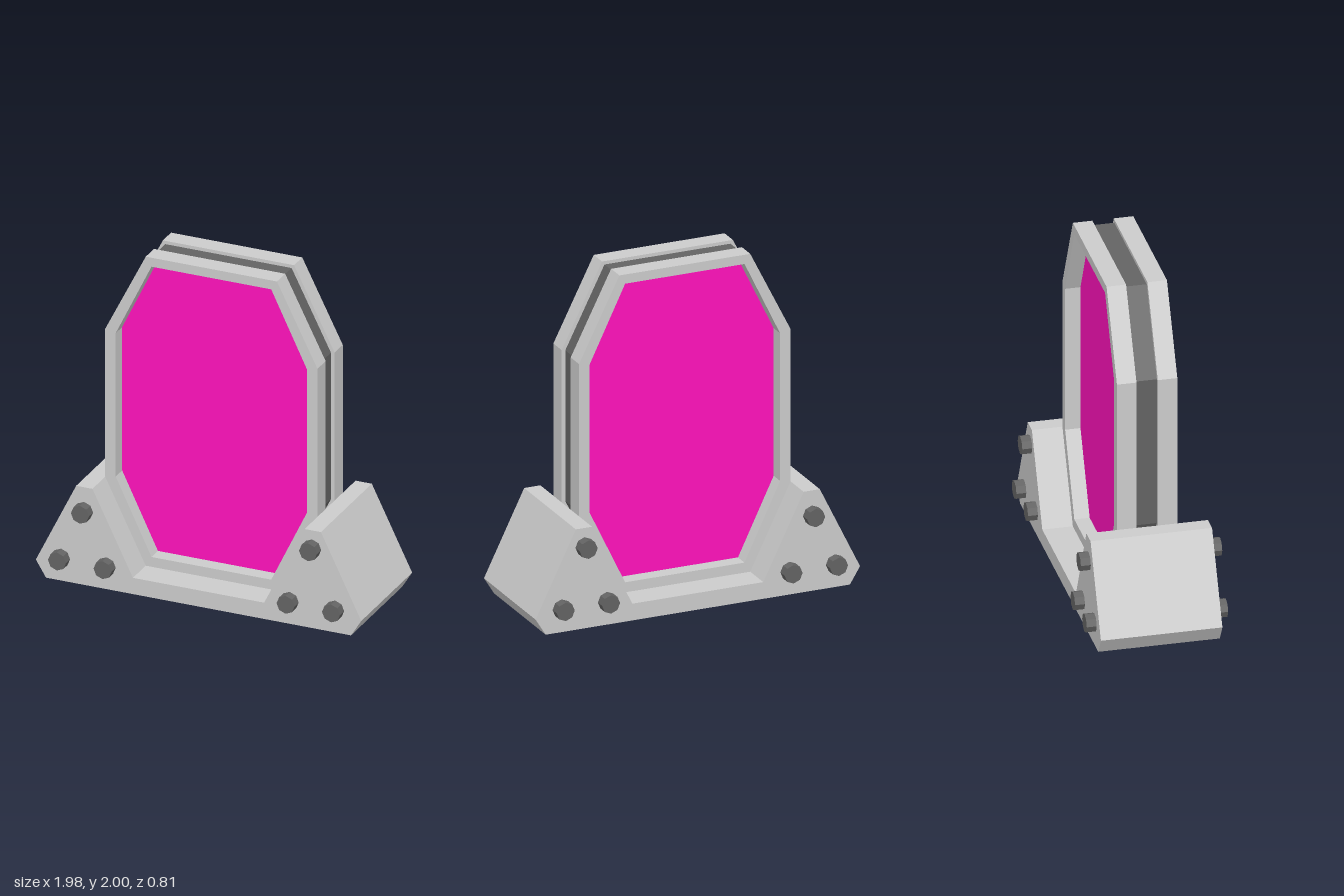
import * as THREE from 'three';

const grey = new THREE.MeshStandardMaterial({ color: 0xcccccc, flatShading: true });
const dark = new THREE.MeshStandardMaterial({ color: 0x636363, flatShading: true });
const magenta = new THREE.MeshStandardMaterial({ color: 0xff12bc, flatShading: true });

// Closed outline from its right half (bottom to top), mirrored to the left
function mirrored(half) {
  const left = half.map(([x, y]) => [-x, y]).reverse();
  return [...half, ...left].map(([x, y]) => new THREE.Vector2(x, y));
}

// Tall octagon: half widths of the ends and the sides, then the four heights
const octagon = (end, side, y0, y1, y2, y3) =>
  mirrored([[end, y0], [side, y1], [side, y2], [end, y3]]);

// Flat plate between two depths, with an optional hole
function plate(name, outline, z0, z1, material, hole) {
  const shape = new THREE.Shape(outline);
  if (hole) shape.holes.push(new THREE.Path(hole));
  const geometry = new THREE.ExtrudeGeometry(shape, { depth: z1 - z0, bevelEnabled: false });
  geometry.translate(0, 0, z0);
  const mesh = new THREE.Mesh(geometry, material);
  mesh.name = name;
  return mesh;
}

export function createModel() {
  const model = new THREE.Group();
  model.name = 'framedPanelOnStand';

  // Stand: a low bar with a sloping bracket at each end
  const standOutline = mirrored([
    [0.93, 0], [0.992, 0.1], [0.746, 0.6], [0.647, 0.6], [0.4, 0.1],
  ]);
  model.add(plate('stand', standOutline, -0.348, 0.348, grey));

  // Dark core between the two frames
  const core = octagon(0.385, 0.625, 0.12, 0.605, 1.505, 1.98);
  model.add(plate('core', core, -0.061, 0.061, dark));

  // Frame and recessed panel on the front and the back
  const outer = octagon(0.4, 0.647, 0.1, 0.6, 1.51, 2);
  const inner = octagon(0.365, 0.583, 0.16, 0.613, 1.495, 1.945);
  for (const [side, s] of [['front', 1], ['back', -1]]) {
    const range = (a, b) => (s > 0 ? [a, b] : [-b, -a]);
    model.add(plate(side + 'Frame', outer, ...range(0.061, 0.173), grey, inner));
    model.add(plate(side + 'Panel', inner, ...range(0.06, 0.085), magenta));
  }

  // Eight-sided bolts running through the brackets
  const boltGeometry = new THREE.CylinderGeometry(0.055, 0.055, 0.81, 8).rotateX(Math.PI / 2);
  const bolts = new THREE.Group();
  bolts.name = 'bolts';
  const places = [
    [-0.698, 0.455], [-0.838, 0.141], [-0.56, 0.141],
    [0.693, 0.49], [0.833, 0.141], [0.556, 0.141],
  ];
  for (const [x, y] of places) {
    const bolt = new THREE.Mesh(boltGeometry, dark);
    bolt.name = 'bolt';
    bolt.position.set(x, y, 0);
    bolts.add(bolt);
  }
  model.add(bolts);

  return model;
}
